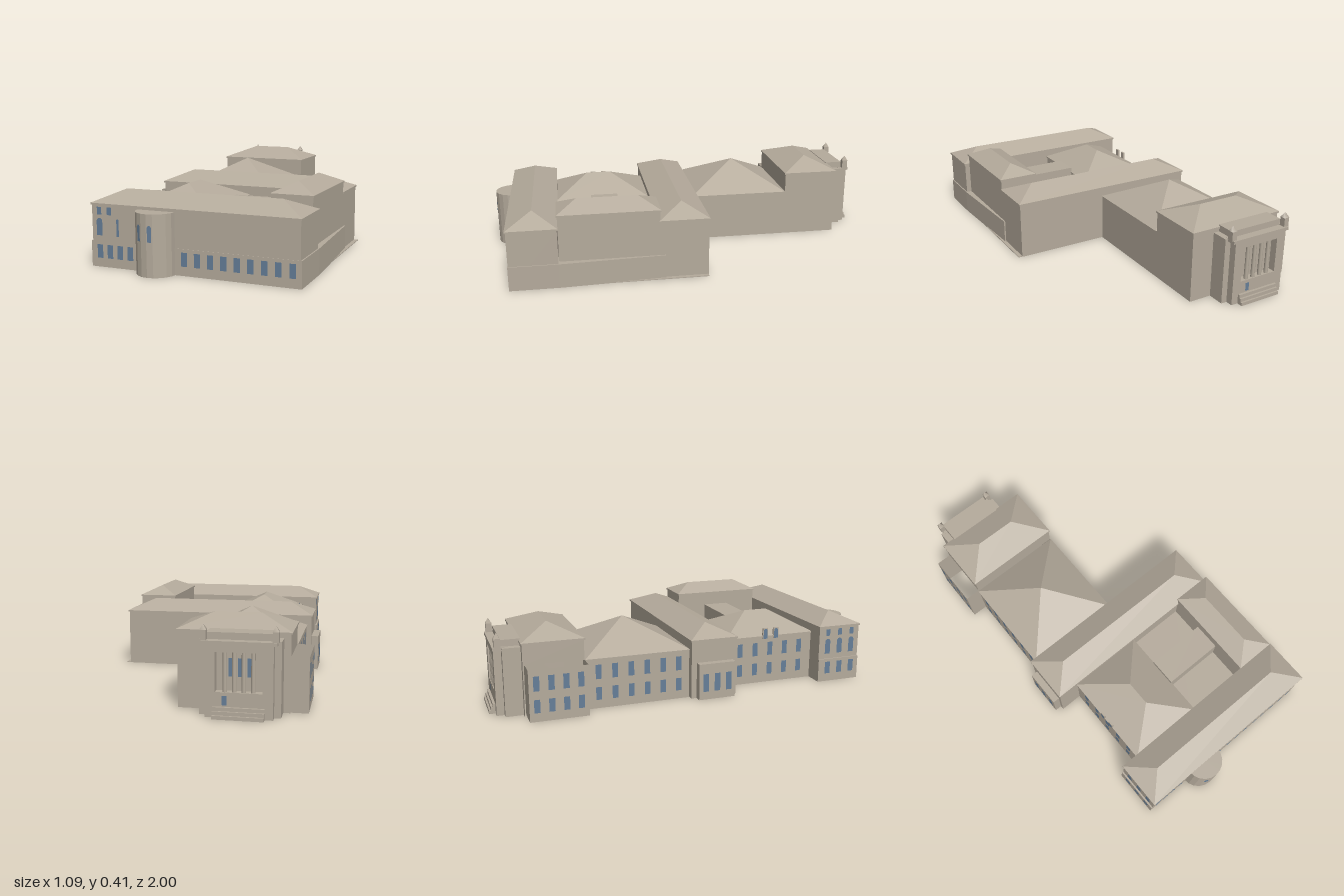
import * as THREE from 'three';

export function createModel() {
  const model = new THREE.Group();
  const stone = new THREE.MeshStandardMaterial({ color: 0xb5ab9c, side: THREE.DoubleSide });
  stone.name = 'stone';
  const glass = new THREE.MeshStandardMaterial({ color: 0x657e98 });
  glass.name = 'glass';

  function add(name, geometry, material = stone) {
    const mesh = new THREE.Mesh(geometry, material);
    mesh.name = name;
    model.add(mesh);
    return mesh;
  }

  // Box from its limits; faces listed in skip (0 +x, 1 -x, 2 +y, 3 -y, 4 +z, 5 -z) are left open
  function block(name, x0, x1, y0, y1, z0, z1, skip = []) {
    const g = new THREE.BoxGeometry(x1 - x0, y1 - y0, z1 - z0);
    g.translate((x0 + x1) / 2, (y0 + y1) / 2, (z0 + z1) / 2);
    if (skip.length) {
      const index = Array.from(g.index.array);
      g.setIndex(index.filter((_, i) => !skip.includes(Math.floor(i / 6))));
      g.clearGroups();
    }
    return add(name, g);
  }

  // Hipped roof: rectangular eave and a ridge that is inset from both ends
  function hipRoof(name, x0, x1, z0, z1, y0, y1, ridge) {
    const [rx0, rx1, rz0, rz1] = ridge;
    const a = [x0, y0, z1], b = [x1, y0, z1], c = [x1, y0, z0], d = [x0, y0, z0];
    let tris;
    if (rz0 === rz1) {
      const A = [rx0, y1, rz0], B = [rx1, y1, rz0];
      tris = rx0 === rx1
        ? [a, b, A, b, c, A, c, d, A, d, a, A]
        : [a, b, B, a, B, A, b, c, B, c, d, A, c, A, B, d, a, A];
    } else {
      const A = [rx0, y1, rz1], B = [rx0, y1, rz0];
      tris = [a, b, A, b, c, B, b, B, A, c, d, B, d, a, A, d, A, B];
    }
    const g = new THREE.BufferGeometry();
    g.setAttribute('position', new THREE.Float32BufferAttribute(tris.flat(), 3));
    g.computeVertexNormals();
    return add(name, g);
  }

  // Wing: open-bottomed walls, thin eave slab and hipped roof
  function wing(name, x0, x1, z0, z1, eave, top, ridge) {
    const i = 0.005;
    block(name + 'Walls', x0 + i, x1 - i, 0, eave - 0.008, z0 + i, z1 - i, [2, 3]);
    block(name + 'Eave', x0, x1, eave - 0.008, eave, z0, z1, [2]);
    hipRoof(name + 'Roof', x0, x1, z0, z1, eave, top, ridge);
  }

  // Flat window pane just proud of the wall, optionally with a round head
  function win(name, x, y0, y1, z, w, turn = 0, arched = false) {
    const s = new THREE.Shape();
    const r = w / 2, spring = arched ? y1 - r : y1;
    s.moveTo(-r, y0);
    s.lineTo(r, y0);
    s.lineTo(r, spring);
    if (arched) s.absarc(0, spring, r, 0, Math.PI, false);
    else s.lineTo(-r, y1);
    s.closePath();
    const g = new THREE.ShapeGeometry(s, 6);
    g.translate(0, 0, 0.0015);
    const pane = add(name, g, glass);
    pane.position.set(x, 0, z);
    pane.rotation.y = turn;
  }

  // Main wings around the courtyard
  wing('frontWing', -0.47, 0.541, 0.675, 0.918, 0.295, 0.35, [-0.35, 0.415, 0.795, 0.795]);
  wing('middleWing', -0.495, 0.515, -0.047, 0.2, 0.295, 0.35, [-0.37, 0.39, 0.075, 0.075]);
  wing('rightCourtWing', 0.31, 0.515, 0.19, 0.682, 0.35, 0.398, [0.413, 0.413, 0.29, 0.585]);
  wing('leftCourtWing', -0.38, 0.01, 0.19, 0.685, 0.25, 0.345, [-0.18, -0.18, 0.385, 0.51]);

  // Underside of the main floors
  block('groundFloor', -0.36, 0.53, 0, 0.004, -0.04, 0.85);

  // Courtyard floor and hall
  block('courtyardFloor', 0, 0.32, 0.165, 0.17, 0.19, 0.68);
  block('courtyardHall', 0.005, 0.315, 0.17, 0.275, 0.36, 0.5);

  // Slightly projecting ground storey, narrowing along the side
  const plan = new THREE.Shape([[-0.06, -0.915], [0.542, -0.915], [0.542, -0.68], [0.517, -0.17], [0.3, -0.17],
    [0.3, -0.68], [-0.06, -0.68]].map(p => new THREE.Vector2(...p)));
  const storey = new THREE.ExtrudeGeometry(plan, { depth: 0.12, bevelEnabled: false });
  storey.rotateX(-Math.PI / 2);
  add('groundStorey', storey);
  block('endGroundStorey', -0.473, -0.44, 0, 0.12, 0.678, 0.913, [3]);

  // Faceted round front bay with panes centred on its facets
  const tube = new THREE.CylinderGeometry(0.093, 0.093, 0.28, 20, 1, true).toNonIndexed();
  tube.computeVertexNormals();
  tube.translate(-0.135, 0.14, 0.907);
  add('roundBay', tube);
  const lid = new THREE.CircleGeometry(0.093, 20);
  lid.rotateX(-Math.PI / 2);
  lid.translate(-0.135, 0.28, 0.907);
  add('roundBayRoof', lid);
  for (const step of [-1.5, 0.5]) {
    const a = step * Math.PI / 10, r = 0.093 * Math.cos(Math.PI / 20);
    win('bayWindow', -0.135 + r * Math.sin(a), 0.157, 0.23, 0.907 + r * Math.cos(a), 0.019, a, true);
  }

  // Side annex
  block('sideAnnex', -0.525, -0.48, 0, 0.18, -0.015, 0.175, [3]);

  // Rear hall with pyramid roof, open underneath
  block('rearHallWalls', -0.464, 0.03, 0, 0.245, -0.56, -0.045, [2, 3, 4, 5]);
  hipRoof('rearHallRoof', -0.468, 0.034, -0.563, -0.042, 0.245, 0.38, [-0.215, -0.215, -0.31, -0.31]);

  // Rear block
  block('rearBlockLowerWalls', -0.464, 0.03, 0, 0.245, -0.85, -0.56, [1, 2, 3, 4]);
  block('rearBlockUpperWalls', -0.464, 0.03, 0.245, 0.342, -0.85, -0.565, [2, 3]);
  block('rearBlockEave', -0.47, 0.035, 0.342, 0.35, -0.855, -0.56, [2]);
  hipRoof('rearBlockRoof', -0.47, 0.035, -0.855, -0.56, 0.35, 0.41, [-0.32, -0.11, -0.71, -0.71]);

  // Roofless screen wall beside the rear block
  block('screenWall', -0.542, -0.435, 0, 0.245, -0.84, -0.565, [0, 2, 3]);

  // Rear portico: stepped body, framed recess, columns, cornice, finials and steps
  block('porticoBody', -0.434, -0.085, 0, 0.325, -0.934, -0.845, [3]);
  block('porticoAttic', -0.4, -0.115, 0.325, 0.357, -0.936, -0.845, [3]);
  const rect = (path, x0, x1, y0, y1) => {
    path.moveTo(x0, y0);
    path.lineTo(x1, y0);
    path.lineTo(x1, y1);
    path.lineTo(x0, y1);
    path.closePath();
    return path;
  };
  const frame = rect(new THREE.Shape(), -0.405, -0.115, 0, 0.315);
  frame.holes.push(rect(new THREE.Path(), -0.36, -0.16, 0.11, 0.28));
  const frameGeometry = new THREE.ExtrudeGeometry(frame, { depth: 0.04, bevelEnabled: false });
  frameGeometry.translate(0, 0, -0.97);
  add('porticoFrame', frameGeometry);
  for (let i = 0; i < 4; i++) {
    const column = new THREE.CylinderGeometry(0.009, 0.01, 0.17, 10);
    column.translate(-0.32 + i * 0.04, 0.195, -0.957);
    add('porticoColumn', column);
  }
  for (let i = 0; i < 3; i++) {
    win('porticoWindow', -0.3 + i * 0.04, 0.17, 0.25, -0.934, 0.018, Math.PI);
  }
  win('porticoDoor', -0.2, 0.055, 0.095, -0.97, 0.02, Math.PI);
  block('porticoCornice', -0.42, -0.1, 0.312, 0.327, -0.975, -0.92);
  for (const x of [-0.412, -0.108]) {
    block('finialPost', x - 0.013, x + 0.013, 0.325, 0.37, -0.967, -0.938);
    const cap = new THREE.ConeGeometry(0.02, 0.025, 4);
    cap.rotateY(Math.PI / 4);
    cap.translate(x, 0.3825, -0.953);
    add('finialCap', cap);
  }
  for (let i = 0; i < 3; i++) {
    block('porticoStep', -0.37, -0.15, i * 0.016, (i + 1) * 0.016, -1 + i * 0.009, -0.965);
  }

  // Front windows
  for (let i = 0; i < 9; i++) win('groundWindow', 0.002 + i * 0.0625, 0.042, 0.105, 0.915, 0.029);
  for (let i = 0; i < 4; i++) win('groundWindow', -0.427 + i * 0.0525, 0.042, 0.105, 0.913, 0.029);
  win('archedWindow', -0.427, 0.147, 0.227, 0.913, 0.03, 0, true);
  win('archedWindow', -0.332, 0.147, 0.227, 0.913, 0.012, 0, true);
  for (const x of [-0.427, -0.375]) win('atticWindow', x, 0.243, 0.278, 0.913, 0.023);

  // Windows along the -x side
  const west = -Math.PI / 2;
  for (const z of [0.73, 0.8, 0.87]) {
    win('endGroundWindow', -0.473, 0.042, 0.105, z, 0.03, west);
    win('endArchedWindow', -0.465, 0.147, 0.227, z, 0.03, west, true);
    win('endAtticWindow', -0.465, 0.243, 0.278, z, 0.023, west);
  }
  for (const [y0, y1] of [[0.042, 0.105], [0.145, 0.215]]) {
    for (let i = 0; i < 4; i++) win('screenWindow', -0.542, y0, y1, -0.805 + i * 0.068, 0.028, west);
    for (let i = 0; i < 6; i++) win('hallWindow', -0.464, y0, y1, -0.5 + i * 0.08, 0.028, west);
    for (let i = 0; i < 5; i++) win('courtWingWindow', -0.375, y0, y1, 0.27 + i * 0.085, 0.028, west);
  }
  for (let i = 0; i < 3; i++) win('annexWindow', -0.525, 0.04, 0.13, 0.02 + i * 0.06, 0.03, west);

  // Small dormers above the court wing eave
  for (const z of [0.41, 0.47]) {
    block('dormer', -0.381, -0.371, 0.235, 0.29, z - 0.014, z + 0.014);
    win('dormerWindow', -0.381, 0.235, 0.287, z, 0.022, west, true);
  }
  return model;
}
